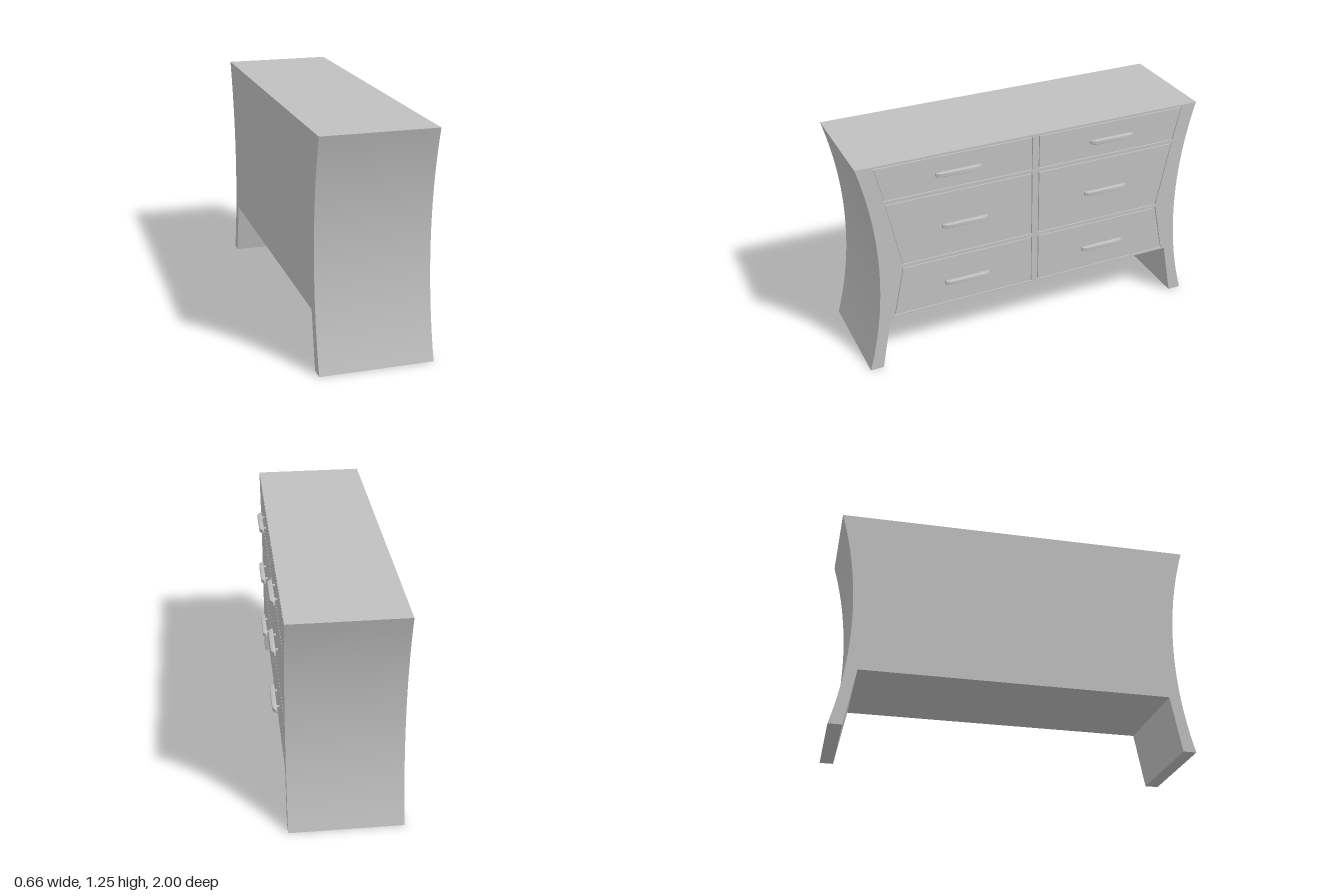
import * as THREE from 'three';
import { toCreasedNormals } from 'three/addons/utils/BufferGeometryUtils.js';

const BACK = -0.33, FRONT = 0.29, GROOVE = 0.01;

// Extrudes a (z, y) outline along x, starting at x0
function slab(shape, x0, depth) {
  const geo = new THREE.ExtrudeGeometry(shape, { depth, bevelEnabled: false });
  geo.rotateY(-Math.PI / 2).scale(1, 1, 1).translate(x0 + depth, 0, 0);
  return toCreasedNormals(geo, 0.5);
}

const polygon = (pts) => new THREE.Shape(pts.map(([z, y]) => new THREE.Vector2(z, y)));

// Outline with concave curved sides and two splayed legs
function bodyOutline() {
  const sag = 0.09, half = 0.625, r = (half * half + sag * sag) / (2 * sag);
  const side = [];
  for (let i = 0; i <= 24; i++) {
    const y = (i / 24) * 2 * half;
    side.push([1 - sag + r - Math.sqrt(r * r - (y - half) ** 2), y]);
  }
  const right = [[0.865, 0.315], [0.925, 0], ...side];
  const left = right.map(([z, y]) => [-z, y]).reverse();
  return polygon([...right, ...left]);
}

export function createModel() {
  const group = new THREE.Group();
  const grey = new THREE.MeshStandardMaterial({ color: 0xc0c0c0 });
  grey.name = 'grey';
  const add = (name, geo, parent = group) => {
    const mesh = new THREE.Mesh(geo, grey);
    mesh.name = name;
    parent.add(mesh);
    return mesh;
  };

  // Drawer rows: bottom and top edges with their outer z, plus the handle position
  const rows = [
    { name: 'top', y0: 1.04, z0: 0.862, y1: 1.238, z1: 0.906, hy: 1.143, hz: 0.452 },
    { name: 'middle', y0: 0.637, z0: 0.782, y1: 1.02, z1: 0.858, hy: 0.83, hz: 0.424 },
    { name: 'bottom', y0: 0.326, z0: 0.842, y1: 0.618, z1: 0.782, hy: 0.47, hz: 0.418 },
  ];
  const drawerPoints = (r, s, inset) => [
    [s * (0.018 + inset), r.y0 + inset], [s * (r.z0 - inset), r.y0 + inset],
    [s * (r.z1 - inset), r.y1 - inset], [s * (0.018 + inset), r.y1 - inset],
  ];

  // Carcass, and a face frame with an opening for each drawer
  add('carcass', slab(bodyOutline(), BACK, FRONT - GROOVE - BACK));
  const frame = bodyOutline();
  for (const r of rows) for (const s of [1, -1]) frame.holes.push(polygon(drawerPoints(r, s, 0)));
  add('faceFrame', slab(frame, FRONT - GROOVE, GROOVE));

  // Handle bar with tapered ends, and its post
  const barShape = polygon([
    [-0.126, 0.308], [0.126, 0.308], [0.126, 0.313], [0.105, 0.326], [-0.105, 0.326], [-0.126, 0.313],
  ]);
  const bar = new THREE.ExtrudeGeometry(barShape, {
    depth: 0.016, bevelSize: 0.004, bevelThickness: 0.004, bevelSegments: 2,
  });
  bar.translate(0, 0, -0.008);
  // Shape x runs along z, shape y along x, depth along y
  bar.applyMatrix4(new THREE.Matrix4().makeBasis(
    new THREE.Vector3(0, 0, 1), new THREE.Vector3(1, 0, 0), new THREE.Vector3(0, 1, 0)));
  const barGeo = toCreasedNormals(bar, 0.6);
  const postGeo = new THREE.CylinderGeometry(0.007, 0.007, 0.022, 12).rotateZ(Math.PI / 2);

  // Drawer fronts and handles, mirrored about the centre divider
  for (const r of rows) {
    for (const s of [1, -1]) {
      const drawer = new THREE.Group();
      drawer.name = r.name + (s > 0 ? 'LeftDrawer' : 'RightDrawer');
      group.add(drawer);
      add('drawerFront', slab(polygon(drawerPoints(r, s, 0.005)), FRONT - GROOVE, GROOVE), drawer);
      const handle = new THREE.Group();
      handle.name = 'handle';
      handle.position.set(0, r.hy, s * r.hz);
      drawer.add(handle);
      add('handleBar', barGeo, handle);
      for (const z of [-0.08, 0.08]) add('handlePost', postGeo, handle).position.set(0.299, 0, z);
    }
  }
  return group;
}
